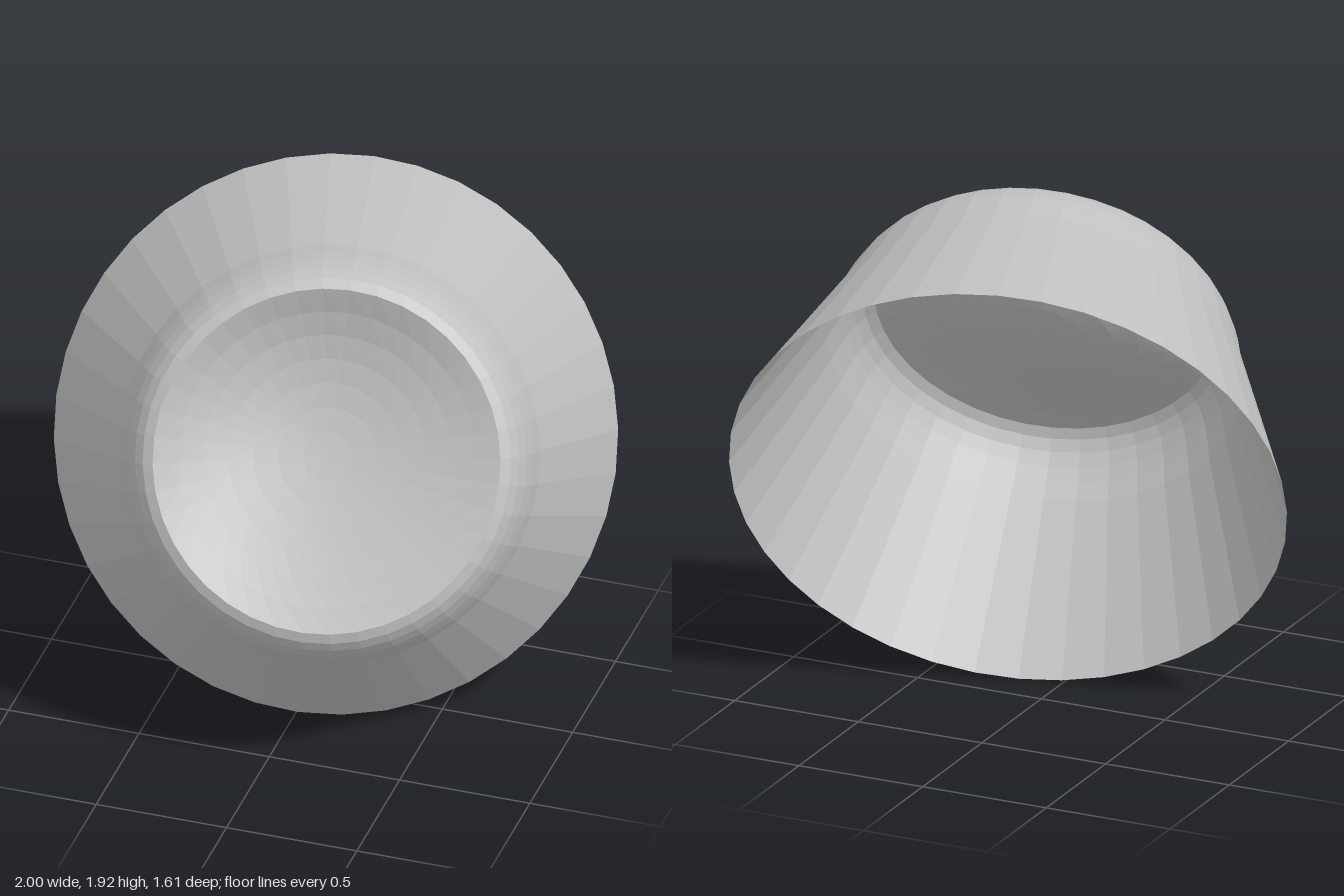
import * as THREE from 'three';

export function createModel() {
  const model = new THREE.Group();
  const SIDES = 40;
  const FOOT_RADIUS = 0.635, FOOT_HEIGHT = 0.888, DENT = 0.15;

  const clay = new THREE.MeshStandardMaterial({ color: 0xc0c0c0, side: THREE.DoubleSide });
  clay.name = 'light grey';
  clay.flatShading = true;

  const lathe = (name, points) => {
    const geometry = new THREE.LatheGeometry(points.map(([r, h]) => new THREE.Vector2(r, h)), SIDES);
    const mesh = new THREE.Mesh(geometry, clay);
    mesh.name = name;
    return mesh;
  };

  // Thin flared wall, from the open rim to the rounded foot
  const wall = lathe('bowlWall', [
    [1.03, 0], [0.77, 0.65], [0.75, 0.72], [0.728, 0.78],
    [0.702, 0.83], [0.672, 0.867], [FOOT_RADIUS, FOOT_HEIGHT],
  ]);

  // Shallow dent pressed into the foot
  const dent = [];
  for (let i = 0; i <= 7; i++) {
    const t = 1 - i / 7;
    dent.push([FOOT_RADIUS * t, FOOT_HEIGHT - DENT * (1 - t * t)]);
  }
  const foot = lathe('footDent', dent);
  // Dent is deepest towards the upper left of the foot
  const p = foot.geometry.attributes.position;
  const deep = new THREE.Vector2();
  for (let i = 0; i < p.count; i++) {
    deep.set(p.getX(i), p.getZ(i));
    const t = deep.length() / FOOT_RADIUS;
    const lean = (-0.8 * deep.x - 0.6 * deep.y) / FOOT_RADIUS;
    p.setY(i, p.getY(i) - 0.12 * lean * (1 - t * t));
  }
  foot.geometry.computeVertexNormals();

  // The bowl lies tilted, foot facing forwards and up
  const bowl = new THREE.Group();
  bowl.name = 'bowl';
  bowl.add(wall, foot);
  const axis = new THREE.Vector3(0.242, 0.445, 0.862).normalize();
  bowl.quaternion.setFromUnitVectors(new THREE.Vector3(0, 1, 0), axis);
  bowl.position.set(0, 0.925, -0.28);
  model.add(bowl);
  return model;
}
